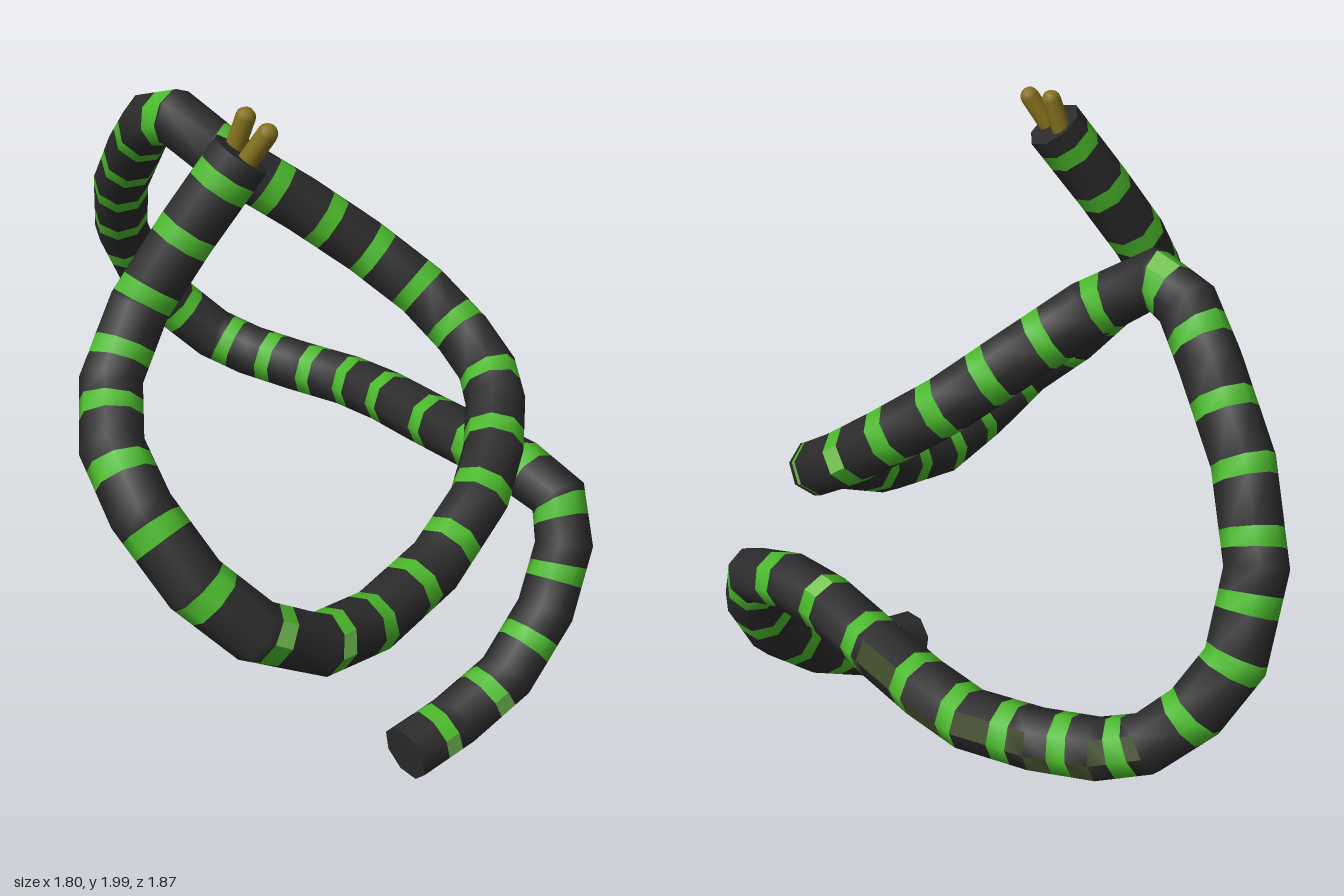
import * as THREE from 'three';
import { mergeVertices } from 'three/addons/utils/BufferGeometryUtils.js';

const SIDES = 8, RADIUS = 0.086, HALF_STRIPE = 0.026;
const V = (x, y, z) => new THREE.Vector3(x, y, z);

// Centre line of the body, from tail to head
const PATH = [
  V(-0.04, 0.09, 0.77), V(0.145, 0.125, 0.80), V(0.325, 0.215, 0.845), V(0.495, 0.365, 0.85),
  V(0.595, 0.54, 0.83), V(0.635, 0.66, 0.77), V(0.645, 0.70, 0.62), V(0.67, 0.70, 0.44),
  V(0.735, 0.675, 0.18), V(0.785, 0.66, -0.02), V(0.81, 0.645, -0.2), V(0.775, 0.645, -0.4),
  V(0.73, 0.66, -0.57), V(0.68, 0.70, -0.69), V(0.605, 0.80, -0.79), V(0.515, 0.93, -0.85),
  V(0.39, 1.14, -0.825), V(0.275, 1.36, -0.70), V(0.18, 1.56, -0.525), V(0.122, 1.672, -0.41),
  V(0.115, 1.715, -0.30), V(0.18, 1.60, -0.13), V(0.325, 1.47, 0.01), V(0.45, 1.34, 0.15),
  V(0.53, 1.22, 0.31), V(0.55, 1.12, 0.45), V(0.53, 1.05, 0.56), V(0.47, 0.995, 0.64),
  V(0.35, 0.92, 0.73), V(0.2, 0.845, 0.80), V(-0.01, 0.73, 0.82), V(-0.27, 0.675, 0.825),
  V(-0.5, 0.71, 0.83), V(-0.69, 0.82, 0.78), V(-0.775, 0.94, 0.65), V(-0.815, 1.11, 0.5),
  V(-0.77, 1.22, 0.35), V(-0.66, 1.33, 0.235), V(-0.53, 1.49, 0.21), V(-0.42, 1.675, 0.27),
  V(-0.298, 1.885, 0.355),
];

// Stripe centres as distances along the body
const STRIPES = [
  0.122, 0.32, 0.52, 0.74, 0.925, 1.1, 1.304, 1.52, 1.755, 1.935, 2.09, 2.255, 2.415,
  2.62, 2.8, 2.96, 3.13, 3.31, 3.49, 3.69, 3.865, 4.07, 4.255, 4.44, 4.61, 4.78, 4.94, 5.14,
  5.35, 5.545, 5.735, 5.915, 6.1, 6.27, 6.48, 6.69, 6.89, 7.08, 7.26, 7.42, 7.59, 7.775, 7.95,
];

// Stripes with one pale face, and the direction that face looks in
const PALE = new Map([
  [0.122, V(0, 0, 1)], [0.32, V(0, 0, 1)], [1.304, V(0, 1, 0)], [3.865, V(0, 1, 0)],
  [4.94, V(1, 0.4, 0.3)], [5.14, V(1, 0.4, 0.3)], [6.27, V(0, 0, 1)], [6.48, V(0, 0, 1)],
]);

// One ring of corners at each bend, turned along the path without twist
function makeRings() {
  const normal = V(0, 1, 0);
  return PATH.map((p, i) => {
    const before = PATH[Math.max(i - 1, 0)], after = PATH[Math.min(i + 1, PATH.length - 1)];
    const tangent = V(0, 0, 0);
    if (i > 0) tangent.add(p.clone().sub(before).normalize());
    if (i < PATH.length - 1) tangent.add(after.clone().sub(p).normalize());
    tangent.normalize();
    normal.addScaledVector(tangent, -normal.dot(tangent)).normalize();
    const side = tangent.clone().cross(normal);
    return Array.from({ length: SIDES }, (_, j) => {
      const a = ((j + 0.5) / SIDES) * Math.PI * 2;
      return p.clone().addScaledVector(normal, RADIUS * Math.cos(a)).addScaledVector(side, RADIUS * Math.sin(a));
    });
  });
}

export function createModel() {
  const group = new THREE.Group();
  const material = (name, color) => {
    const m = new THREE.MeshStandardMaterial({ color });
    m.name = name;
    return m;
  };
  const charcoal = material('charcoal', 0x2b2b2b);
  const green = material('green', 0x4bb82c);
  const paleGreen = material('paleGreen', 0x78c657);
  const moss = material('moss', 0x3f4a29);
  const ochre = material('ochre', 0x83701b);

  const rings = makeRings();
  const lengths = [0];
  for (let i = 1; i < PATH.length; i++) lengths.push(lengths[i - 1] + PATH[i].distanceTo(PATH[i - 1]));

  const ringAt = (s) => {
    let i = 0;
    while (i < PATH.length - 2 && s > lengths[i + 1]) i++;
    const t = (s - lengths[i]) / (lengths[i + 1] - lengths[i]);
    return rings[i].map((p, j) => p.clone().lerp(rings[i + 1][j], t));
  };

  // Skin: cut the tube at every bend and stripe edge, sorted by colour
  const skin = { body: [], stripes: [], paleStripeFaces: [], mossPatches: [], ends: [] };
  const tri = (list, ...pts) => pts.forEach((p) => list.push(p.x, p.y, p.z));
  const cuts = [...lengths, ...STRIPES.flatMap((c) => [c - HALF_STRIPE, c + HALF_STRIPE])].sort((a, b) => a - b);
  for (let k = 0; k < cuts.length - 1; k++) {
    if (cuts[k + 1] - cuts[k] < 1e-5) continue;
    const a = ringAt(cuts[k]), b = ringAt(cuts[k + 1]);
    const centre = V(0, 0, 0);
    [...a, ...b].forEach((p) => centre.addScaledVector(p, 0.5 / SIDES));
    const outward = a.map((p, j) => p.clone().add(b[(j + 1) % SIDES]).multiplyScalar(0.5).sub(centre).normalize());
    const middle = (cuts[k] + cuts[k + 1]) / 2;
    const stripe = STRIPES.find((c) => Math.abs(middle - c) < HALF_STRIPE);
    const paleSide = PALE.get(stripe);
    const facing = paleSide ? outward.map((o) => o.dot(paleSide)) : [];
    const paleFace = facing.indexOf(Math.max(...facing));
    // Mossy blotches lie along the outer flank of the low stretch
    const lowStretch = centre.y < 0.72 && centre.z < 0.2 && centre.z > -0.72;
    for (let j = 0; j < SIDES; j++) {
      const n = (j + 1) % SIDES;
      let list = skin.body;
      if (stripe !== undefined) list = j === paleFace ? skin.paleStripeFaces : skin.stripes;
      else if (lowStretch && outward[j].x > 0.5 && (k + j) % 2 === 0) list = skin.mossPatches;
      tri(list, a[j], a[n], b[n]);
      tri(list, a[j], b[n], b[j]);
    }
  }
  // Flat ends
  const first = rings[0], last = rings[rings.length - 1];
  for (let j = 0; j < SIDES; j++) {
    const n = (j + 1) % SIDES;
    tri(skin.ends, PATH[0], first[n], first[j]);
    tri(skin.ends, PATH[PATH.length - 1], last[j], last[n]);
  }
  const skinMaterials = { body: charcoal, stripes: green, paleStripeFaces: paleGreen, mossPatches: moss, ends: charcoal };
  for (const [name, list] of Object.entries(skin)) {
    const corners = new THREE.BufferGeometry();
    corners.setAttribute('position', new THREE.Float32BufferAttribute(list, 3));
    const geometry = mergeVertices(corners);
    geometry.computeVertexNormals();
    const mesh = new THREE.Mesh(geometry, skinMaterials[name]);
    mesh.name = name;
    group.add(mesh);
  }

  // Two rounded prongs at the head end
  const addProng = (name, base, tip) => {
    const along = tip.clone().sub(base);
    const mesh = new THREE.Mesh(new THREE.CapsuleGeometry(0.028, along.length(), 4, 10), ochre);
    mesh.position.copy(base).add(tip).multiplyScalar(0.5);
    mesh.quaternion.setFromUnitVectors(V(0, 1, 0), along.normalize());
    mesh.name = name;
    group.add(mesh);
  };
  addProng('backProng', V(-0.285, 1.87, 0.312), V(-0.268, 1.972, 0.34));
  addProng('frontProng', V(-0.315, 1.87, 0.385), V(-0.288, 1.957, 0.435));

  return group;
}
